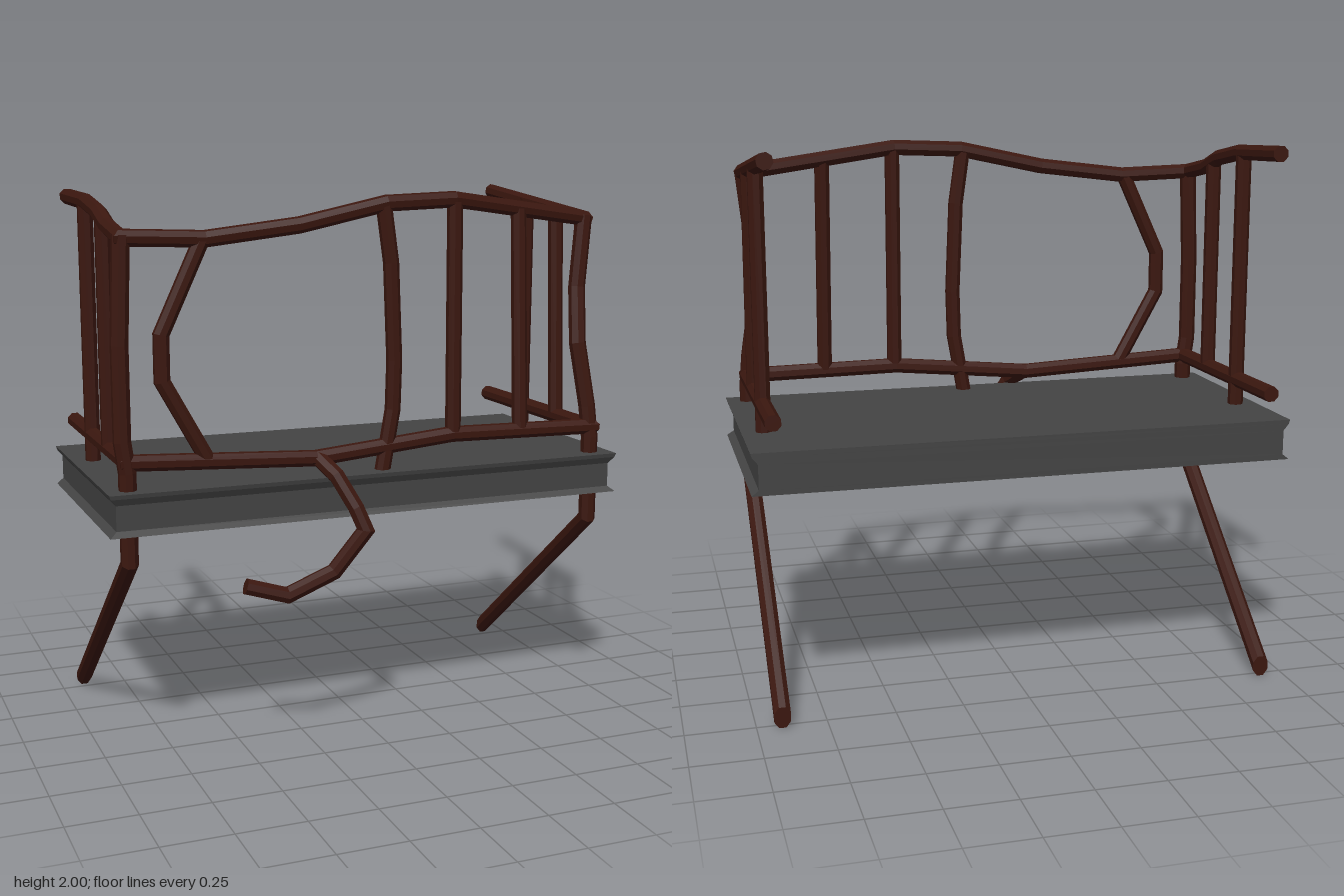
import * as THREE from 'three';

const iron = new THREE.MeshStandardMaterial({ color: 0x3b170f, flatShading: true });
const stone = new THREE.MeshStandardMaterial({ color: 0x444444, flatShading: true });
const WALL = new THREE.Vector3(0, 0, 1); // cut plane where parts meet the wall
const BACK = -0.525, FRONT = 0.335, SIDE = 0.91;

// Closed skin through equal-sized rings of points, with end caps
function loft(rings) {
  const n = rings[0].length, last = (rings.length - 1) * n, idx = [];
  const pos = rings.flat().flatMap(p => [p.x, p.y, p.z]);
  for (let i = 0; i < rings.length - 1; i++) {
    for (let j = 0; j < n; j++) {
      const a = i * n + j, b = i * n + (j + 1) % n;
      idx.push(a, b, a + n, b, b + n, a + n);
    }
  }
  for (let j = 1; j < n - 1; j++) {
    idx.push(0, j + 1, j, last, last + j, last + j + 1);
  }
  const g = new THREE.BufferGeometry();
  g.setAttribute('position', new THREE.Float32BufferAttribute(pos, 3));
  g.setIndex(idx);
  const flat = g.toNonIndexed();
  flat.computeVertexNormals();
  return flat;
}

// Bent bar with mitred joints; ends are square unless cut by the wall plane
function bar(name, points, { r = 0.03, cutStart, cutEnd, sides = 8 } = {}) {
  const p = points.map(a => new THREE.Vector3(...a));
  const dirs = p.slice(1).map((q, i) => q.clone().sub(p[i]).normalize());
  const d0 = dirs[0];
  const ref = Math.abs(d0.y) > 0.8 ? new THREE.Vector3(0, 0, 1) : new THREE.Vector3(0, 1, 0);
  const u = new THREE.Vector3().crossVectors(ref, d0).normalize();
  const v = new THREE.Vector3().crossVectors(d0, u);
  let ring = [];
  for (let j = 0; j < sides; j++) {
    const a = (j + 0.5) / sides * Math.PI * 2;
    ring.push(p[0].clone().addScaledVector(u, r * Math.cos(a)).addScaledVector(v, r * Math.sin(a)));
  }
  const rings = p.map((c, i) => {
    const d = dirs[Math.max(i - 1, 0)];
    let n = d;
    if (i === 0) n = cutStart || d;
    else if (i === p.length - 1) n = cutEnd || d;
    else n = d.clone().add(dirs[i]);
    ring = ring.map(q => q.clone().addScaledVector(d, c.clone().sub(q).dot(n) / d.dot(n)));
    return ring;
  });
  const mesh = new THREE.Mesh(loft(rings), iron);
  mesh.name = name;
  return mesh;
}

// Floor slab: moulded on the front and sides, flat against the wall
function slab() {
  const profile = [[0.85, 0], [0.87, 0.025], [0.96, 0.025], [0.985, 0.005], [1, 0]];
  const rings = profile.map(([y, inset]) => {
    const x = 0.99 - inset, z = 0.405 - inset * 0.7;
    return [[-x, z], [x, z], [x, BACK], [-x, BACK]].map(([a, b]) => new THREE.Vector3(a, y, b));
  });
  const mesh = new THREE.Mesh(loft(rings), stone);
  mesh.name = 'floorSlab';
  return mesh;
}

export function createModel() {
  const model = new THREE.Group();
  model.name = 'damagedBalcony';
  model.add(slab());

  // Handrail, sagging at the right corner and pushed in at the left one
  model.add(bar('topRail', [
    [-SIDE, 1.97, BACK], [-SIDE, 1.96, -0.18], [-SIDE, 1.93, 0.02], [-SIDE, 1.89, 0.14],
    [-SIDE, 1.86, FRONT], [-0.62, 1.85, FRONT], [-0.28, 1.89, 0.34], [0.05, 1.96, FRONT],
    [0.32, 1.97, 0.325], [SIDE, 1.89, 0.235], [SIDE, 1.97, BACK],
  ], { cutStart: WALL, cutEnd: WALL }));

  // Lower rail
  model.add(bar('bottomRail', [
    [-SIDE, 1.1, BACK], [-SIDE, 1.095, FRONT], [-0.22, 1.06, FRONT],
    [0.32, 1.11, FRONT], [SIDE, 1.1, FRONT], [SIDE, 1.1, BACK],
  ], { cutStart: WALL, cutEnd: WALL }));

  // Corner posts, each running down into a diagonal brace to the wall
  const corner = (name, x, upper) => model.add(bar(name,
    [[x, 0.04, BACK], [x, 0.74, FRONT], [x, 1.06, FRONT], ...upper],
    { r: 0.032, cutStart: WALL }));
  corner('rightPostAndBrace', -SIDE, [[-0.925, 1.17, FRONT], [-0.925, 1.5, FRONT], [-SIDE, 1.87, FRONT]]);
  corner('leftPostAndBrace', SIDE,
    [[0.9, 1.18, 0.325], [0.865, 1.42, 0.3], [0.88, 1.63, 0.255], [SIDE, 1.9, 0.24]]);

  // Front balusters, two of them bent
  const front = [
    [[-0.62, 1.08, FRONT], [-0.78, 1.37, FRONT], [-0.78, 1.53, FRONT], [-0.63, 1.85, FRONT]],
    [[0.04, 0.99, FRONT], [0.08, 1.22, FRONT], [0.085, 1.4, FRONT], [0.07, 1.75, FRONT], [0.04, 1.96, FRONT]],
    [[0.325, 1.1, FRONT], [0.325, 1.96, 0.325]],
    [[0.605, 1.1, FRONT], [0.605, 1.93, 0.285]],
  ];
  front.forEach((path, i) => model.add(bar('frontBaluster' + (i + 1), path, { r: 0.029 })));

  // Side balusters
  for (const s of [-1, 1]) {
    const x = s * SIDE, side = s < 0 ? 'right' : 'left';
    model.add(bar(side + 'RearBaluster', [[x, 0.99, -0.21], [x, 1.95, -0.21]], { r: 0.029 }));
    model.add(bar(side + 'MiddleBaluster',
      [[x, 1.1, 0.07], [x, 1.91, s < 0 ? 0.07 : 0.025]], { r: 0.029 }));
  }

  // Broken baluster hanging over the front edge
  model.add(bar('hangingBaluster', [
    [-0.21, 1.06, FRONT], [-0.175, 1.01, 0.43], [-0.12, 0.9, 0.475], [-0.09, 0.82, 0.495],
    [-0.2, 0.67, 0.465], [-0.38, 0.605, 0.475], [-0.53, 0.65, 0.46],
  ]));
  return model;
}
